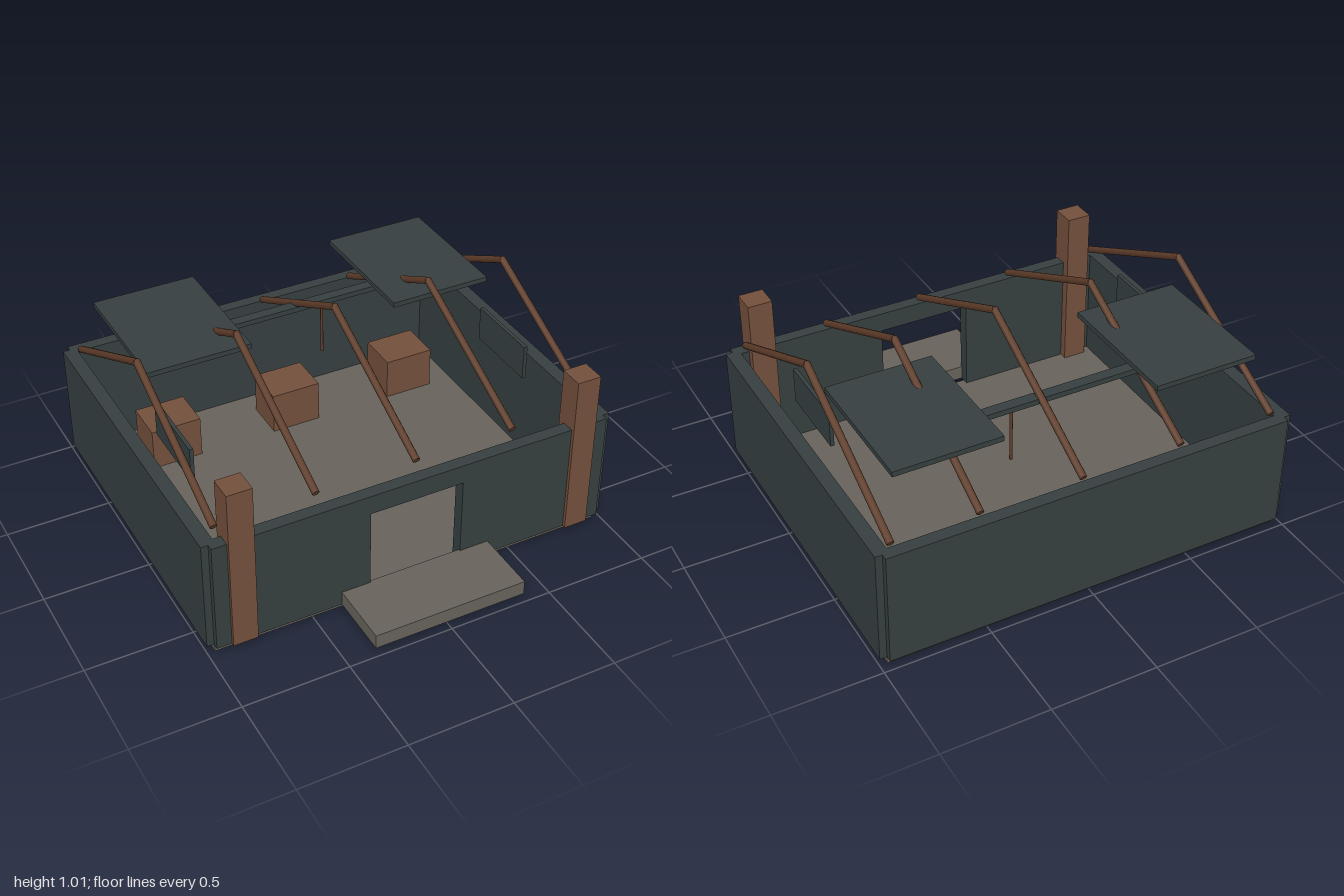
import * as THREE from 'three';

const material = (name, color) => Object.assign(new THREE.MeshStandardMaterial({ color }), { name });

export function createModel() {
  const slate = material('dark slate', 0x363f40);
  const stone = material('grey stone', 0x67635b);
  const wood = material('brown wood', 0x74503c);
  const darkWood = material('dark wood', 0x5e3c29);
  const model = new THREE.Group();
  model.name = 'openRoofHouse';

  const add = (name, geometry, mat) => {
    const mesh = new THREE.Mesh(geometry, mat);
    mesh.name = name;
    model.add(mesh);
    return mesh;
  };
  // Box given by its extents on each axis
  const box = (name, mat, [x0, x1], [y0, y1], [z0, z1]) =>
    add(name, new THREE.BoxGeometry(x1 - x0, y1 - y0, z1 - z0), mat)
      .position.set((x0 + x1) / 2, (y0 + y1) / 2, (z0 + z1) / 2);
  // Round pole between two points
  const pole = (name, mat, radius, a, b) => {
    const from = new THREE.Vector3(...a), to = new THREE.Vector3(...b);
    const dir = to.clone().sub(from);
    const mesh = add(name, new THREE.CylinderGeometry(radius, radius, dir.length(), 10), mat);
    mesh.position.copy(from).add(to).multiplyScalar(0.5);
    mesh.quaternion.setFromUnitVectors(new THREE.Vector3(0, 1, 0), dir.normalize());
  };

  // Floor slab and front step
  box('floor', stone, [-0.965, 0.965], [0, 0.04], [-0.955, 0.65]);
  box('frontStep', stone, [-0.37, 0.37], [0.04, 0.11], [0.67, 0.99]);

  // Back wall, and front wall with a doorway
  box('backWall', slate, [-0.967, 0.967], [0.04, 0.59], [-0.99, -0.93]);
  const front = new THREE.Shape([
    [-0.967, 0.04], [-0.23, 0.04], [-0.23, 0.495], [0.225, 0.495],
    [0.225, 0.04], [0.967, 0.04], [0.967, 0.59], [-0.967, 0.59],
  ].map(([x, y]) => new THREE.Vector2(x, y)));
  add('frontWall', new THREE.ExtrudeGeometry(front, { depth: 0.06, bevelEnabled: false }), slate)
    .position.z = 0.62;

  // Side parts, mirrored
  for (const s of [-1, 1]) {
    const span = (a, b) => (s > 0 ? [a, b] : [-b, -a]);
    const side = s > 0 ? 'left' : 'right';
    box(side + 'Wall', slate, span(0.935, 1), [0.04, 0.59], [-0.96, 0.65]);
    box(side + 'FrontPost', wood, span(0.78, 0.897), [0.04, 0.85], [0.58, 0.697]);
    box(side + 'RoofPanel', slate, span(0.363, 0.863), [0.86, 0.885], [-0.85, -0.2]);
    box(side + 'SidePanel', slate, span(0.828, 0.846), [0.56, 0.73], [-0.185, 0.2]);
  }

  // Crates along the back
  for (const x of [-0.595, 0.045, 0.685])
    box('crate', wood, [x - 0.125, x + 0.125], [0.04, 0.25], [-0.81, -0.6]);

  // Cross beam with hanging rod
  box('crossBeam', slate, [-0.8, 0.8], [0.757, 0.783], [-0.573, -0.52]);
  pole('hangingRod', darkWood, 0.007, [0.16, 0.757, -0.54], [0.16, 0.485, -0.54]);

  // Bent rafters
  for (const x of [-0.92, -0.453, 0.03, 0.513, 0.915]) {
    pole('frontRafter', darkWood, 0.017, [x, 0.637, 0.605], [x, 0.993, -0.16]);
    pole('rearRafter', darkWood, 0.017, [x, 0.993, -0.147], [x, 0.6, -0.925]);
  }
  return model;
}
